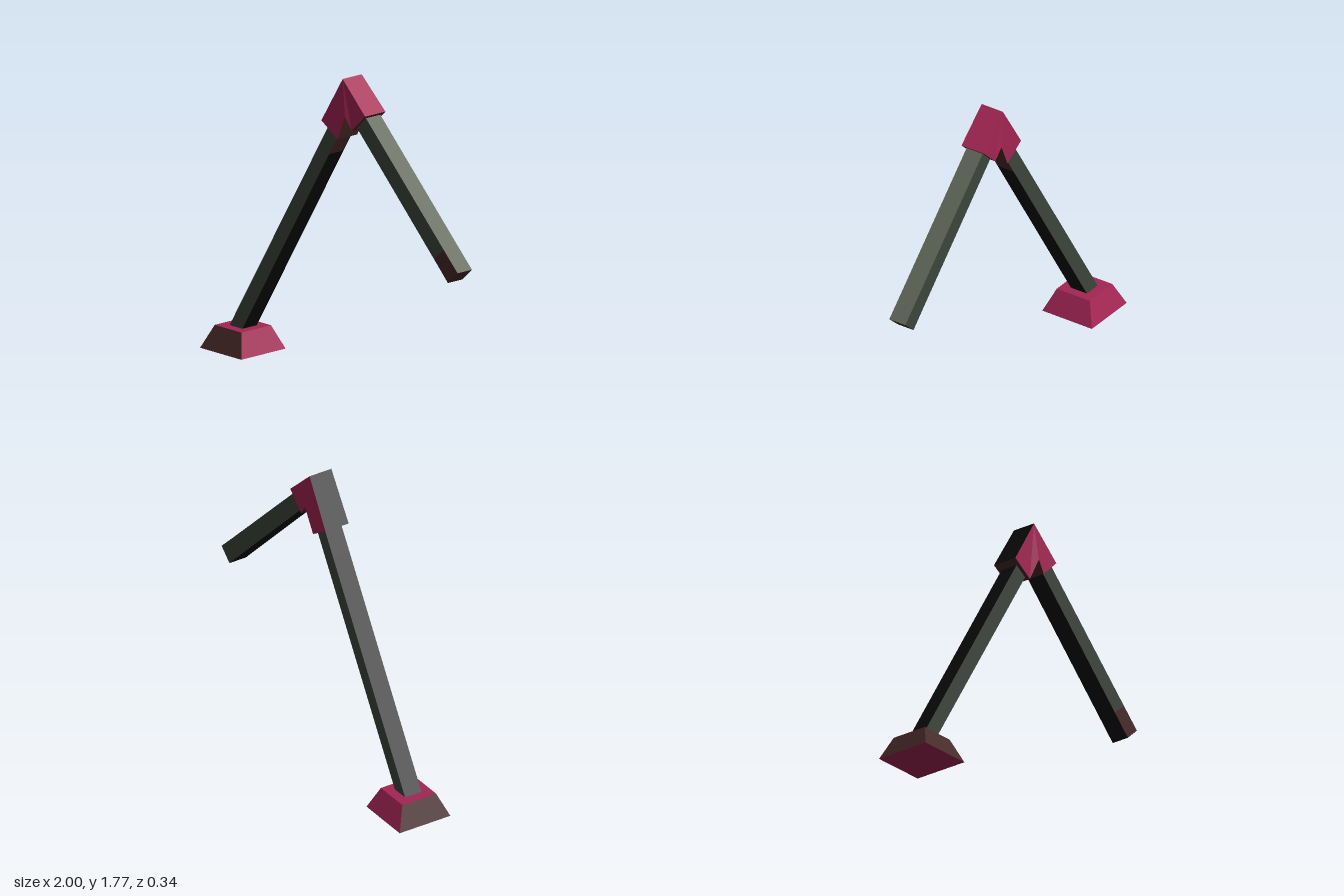
import * as THREE from 'three';

const material = (name, color) => {
  const m = new THREE.MeshStandardMaterial({ color });
  m.name = name;
  return m;
};

// Prism across z from a counter-clockwise front profile of [x, y, halfDepth].
// edges[i] is the material of the side from point i to point i + 1.
function prism(name, profile, edges, front, back) {
  const positions = [];
  const materials = [];
  const geometry = new THREE.BufferGeometry();
  const corner = (i, side) => {
    const [x, y, d] = profile[i % profile.length];
    return [x, y, d * side];
  };
  const add = (mat, triangles) => {
    geometry.addGroup(positions.length / 3, triangles.length, materials.length);
    materials.push(mat);
    triangles.forEach((p) => positions.push(...p));
  };
  profile.forEach((_, i) => {
    const a = corner(i, 1), b = corner(i, -1), c = corner(i + 1, -1), d = corner(i + 1, 1);
    add(edges[i], [a, b, c, a, c, d]);
  });
  const outline = profile.map(([x, y]) => new THREE.Vector2(x, y));
  const faces = THREE.ShapeUtils.triangulateShape(outline, []);
  add(front, faces.flatMap(([a, b, c]) => [corner(a, 1), corner(b, 1), corner(c, 1)]));
  add(back, faces.flatMap(([a, b, c]) => [corner(a, -1), corner(c, -1), corner(b, -1)]));
  geometry.setAttribute('position', new THREE.Float32BufferAttribute(positions, 3));
  geometry.computeVertexNormals();
  const mesh = new THREE.Mesh(geometry, materials);
  mesh.name = name;
  return mesh;
}

export function createModel() {
  const crimson = material('crimson', 0xa32553);
  const green = material('darkGreyGreen', 0x3d453c);
  const paleGreen = material('paleGreyGreen', 0x5e6657);
  const brown = material('darkBrown', 0x462827);
  const black = material('black', 0x080908);
  const group = new THREE.Group();
  group.name = 'bentArm';

  // Tapered foot
  group.add(prism('foot',
    [[-1, 0, 0.17], [-0.66, 0, 0.17], [-0.72, 0.135, 0.113], [-0.94, 0.135, 0.113]],
    [crimson, crimson, crimson, brown], brown, crimson));

  // Long leaning arm, with a brown patch under its upper end
  const w = 0.055;
  group.add(prism('lowerArm',
    [[-0.889, 0.12, w], [-0.784, 0.12, w], [-0.06, 1.302, w], [-0.142, 1.34, w]],
    [black, black, black, black], green, green));
  group.add(prism('lowerArmTop',
    [[-0.142, 1.34, w], [-0.06, 1.302, w], [0.04, 1.465, w], [-0.03, 1.522, w]],
    [black, brown, black, black], green, green));

  // Elbow bracket, a little thicker at the inner corner
  group.add(prism('elbow',
    [[0.07, 1.77, 0.073], [-0.1, 1.495, 0.078], [0.03, 1.41, 0.076],
      [0.1, 1.555, 0.084], [0.15, 1.485, 0.077], [0.26, 1.59, 0.078]],
    [black, brown, brown, brown, brown, crimson], crimson, crimson));

  // Short hanging arm and its brown tip
  group.add(prism('upperArm',
    [[0.13, 1.54, w], [0.803, 0.867, w], [0.882, 0.938, w], [0.205, 1.61, w]],
    [black, black, paleGreen, black], green, green));
  group.add(prism('upperArmTip',
    [[0.803, 0.867, w], [0.917, 0.752, w], [0.997, 0.825, w], [0.882, 0.938, w]],
    [black, brown, paleGreen, black], brown, green));

  return group;
}
